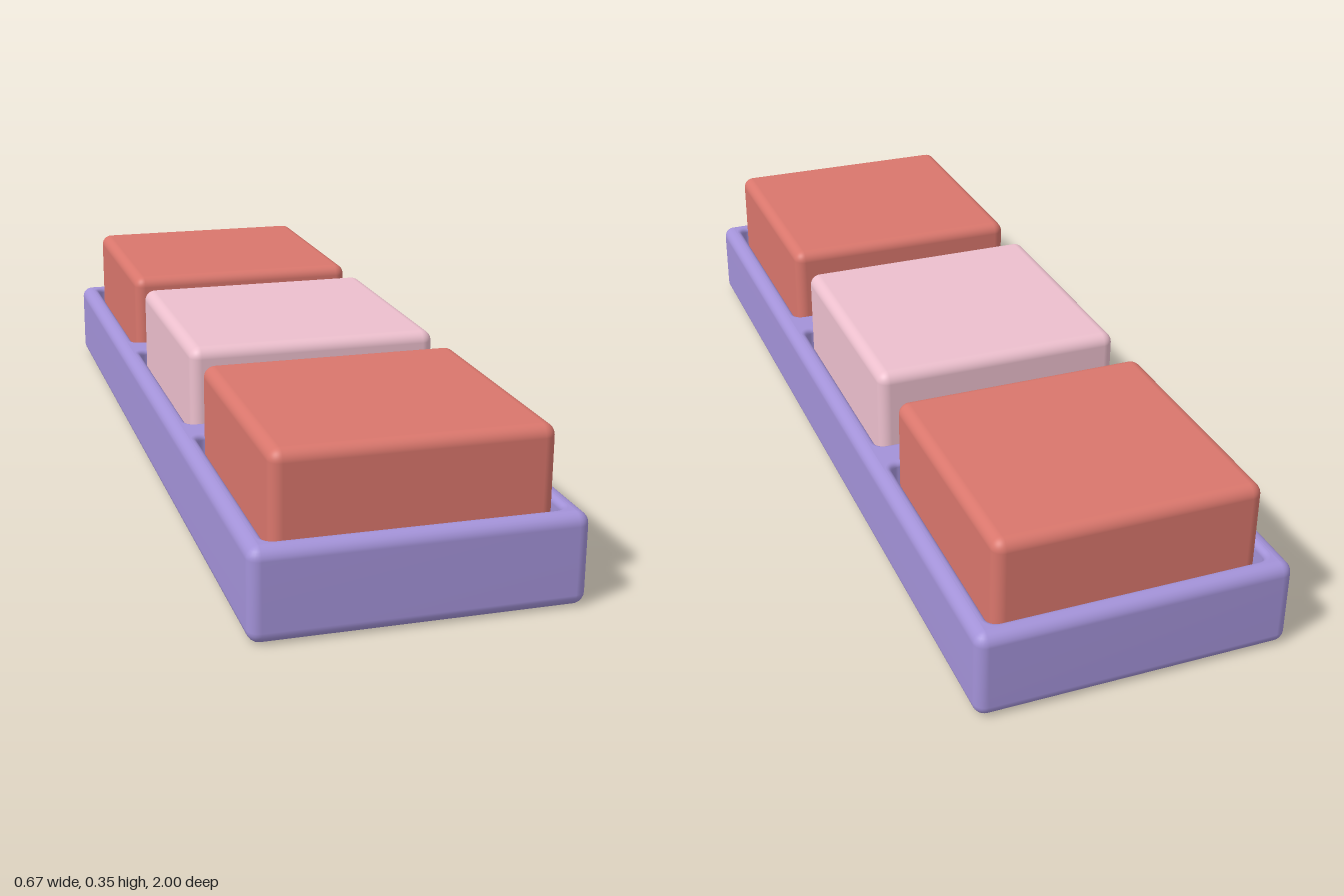
import * as THREE from 'three';
import { RoundedBoxGeometry } from 'three/addons/geometries/RoundedBoxGeometry.js';

const STEPS = 6; // segments per rounded corner or edge
const paint = (color) => new THREE.MeshStandardMaterial({ color });

// Rounded rectangle outline, grown (positive) or shrunk (negative) by offset
function outline(width, depth, radius, offset, cz = 0) {
  const points = [];
  [[1, 1], [-1, 1], [-1, -1], [1, -1]].forEach(([sx, sz], corner) => {
    for (let i = 0; i <= STEPS; i++) {
      const a = (corner + i / STEPS) * Math.PI / 2;
      const r = Math.max(radius + offset, 0.001);
      points.push(new THREE.Vector2(
        sx * (width / 2 - radius) + r * Math.cos(a),
        cz + sz * (depth / 2 - radius) + r * Math.sin(a)));
    }
  });
  return points;
}

// Skin joining a stack of outlines; going up faces outward, going down faces inward
function skin(rings) {
  const n = rings[0].points.length, positions = [], index = [];
  rings.forEach(({ points, y }) => points.forEach((p) => positions.push(p.x, y, p.y)));
  for (let i = 0; i < rings.length - 1; i++) {
    for (let k = 0; k < n; k++) {
      const a = i * n + k, b = i * n + (k + 1) % n;
      index.push(a, a + n, b, b, a + n, b + n);
    }
  }
  const geometry = new THREE.BufferGeometry();
  geometry.setAttribute('position', new THREE.Float32BufferAttribute(positions, 3));
  geometry.setIndex(index);
  geometry.computeVertexNormals();
  return geometry;
}

// Flat horizontal face with optional holes
function face(points, y, up, holes = []) {
  const flip = (list) => list.map((p) => new THREE.Vector2(p.x, up ? -p.y : p.y));
  const shape = new THREE.Shape(flip(points));
  shape.holes = holes.map((h) => new THREE.Path(flip(h)));
  return new THREE.ShapeGeometry(shape).rotateX(up ? -Math.PI / 2 : Math.PI / 2).translate(0, y, 0);
}

export function createModel() {
  const model = new THREE.Group();
  const add = (parent, name, geometry, material) => {
    const mesh = new THREE.Mesh(geometry, material);
    mesh.name = name;
    parent.add(mesh);
    return mesh;
  };

  const W = 0.667, D = 2, H = 0.19, R = 0.025; // tray
  const POCKET = 0.586, LIP = 0.012, FLOOR = 0.06;
  const BLOCK = 0.56, TOP = 0.353, PITCH = 0.667;
  const purple = paint(0xa392d8), red = paint(0xd9766c), pink = paint(0xecbfcd);

  // Tray shell with rounded lower and upper edges
  const tray = new THREE.Group();
  tray.name = 'tray';
  model.add(tray);
  const shell = [];
  for (const top of [false, true]) {
    for (let i = 0; i <= STEPS; i++) {
      const a = (i / STEPS + (top ? 0 : -1)) * Math.PI / 2;
      shell.push({
        points: outline(W, D, R, R * (Math.cos(a) - 1)),
        y: (top ? H - R : R) + R * Math.sin(a),
      });
    }
  }
  add(tray, 'trayShell', skin(shell), purple);
  add(tray, 'trayUnderside', face(shell[0].points, 0, false), purple);

  // Three pockets, each with a rounded lip and holding one block
  const openings = [];
  for (const slot of [-1, 0, 1]) {
    const cz = slot * PITCH;
    const rings = [];
    for (let i = 0; i <= STEPS; i++) {
      const a = i / STEPS * Math.PI / 2;
      rings.push({
        points: outline(POCKET, POCKET, 0.02, LIP * (1 - Math.sin(a)), cz),
        y: H - LIP + LIP * Math.cos(a),
      });
    }
    rings.push({ points: outline(POCKET, POCKET, 0.02, 0, cz), y: FLOOR });
    openings.push(rings[0].points);
    add(tray, 'pocketWall', skin(rings), purple);
    add(tray, 'pocketFloor', face(rings.at(-1).points, FLOOR, true), purple);

    const height = TOP - FLOOR;
    const block = add(model, slot ? 'endBlock' : 'middleBlock',
      new RoundedBoxGeometry(BLOCK, height, BLOCK, 5, R), slot ? red : pink);
    block.position.set(0, FLOOR + height / 2, cz);
  }
  add(tray, 'trayRim', face(shell.at(-1).points, H, true, openings), purple);

  return model;
}
